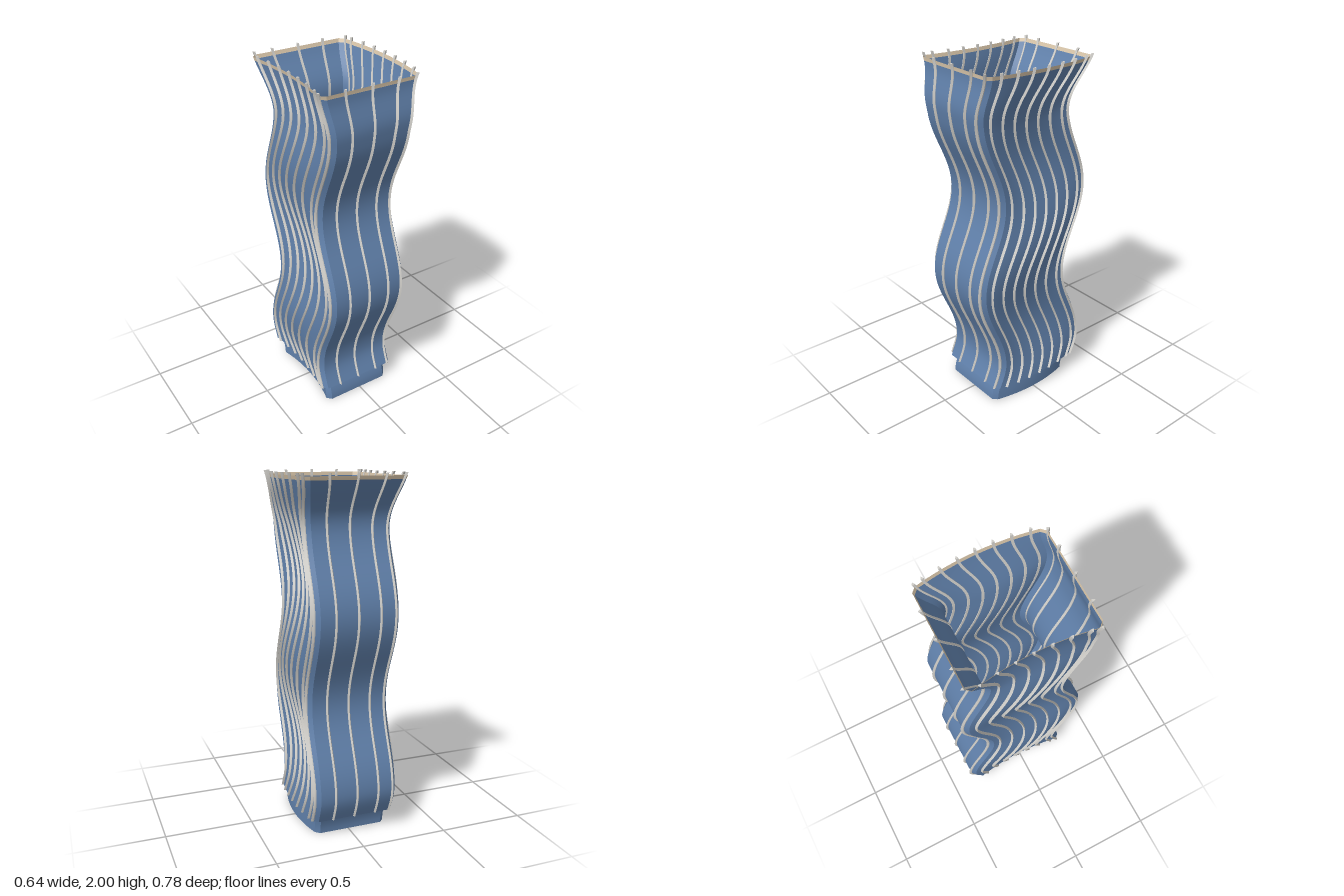
import * as THREE from 'three';
import { mergeGeometries } from 'three/addons/utils/BufferGeometryUtils.js';

const Y_LEDGE = 0.1, Y_RIM = 1.965, Y_RIM_TOP = 1.985, Y_RIB_TOP = 2;
const CENTRE_X = -0.015, CHAMFER = 0.025;
const V = (x, y, z) => new THREE.Vector3(x, y, z);

// Outward direction of side 0..3: right (+x), front, left, back
const NORMALS = [[1, 0], [0, 1], [-1, 0], [0, -1]];

// Forward and backward sway of the whole section, eased out at both ends
function sway(y) {
  if (y < 0.25) return -0.035 * (1 - Math.cos(4 * Math.PI * y));
  if (y > 1.75) return 0.035 * (1 - Math.cos(4 * Math.PI * (2 - y)));
  return -0.07 * Math.sin(2 * Math.PI * y);
}

// Point on a side; u runs -1..1 between its chamfers
function point(side, u, y, inset = 0) {
  const [nx, nz] = NORMALS[side % 4];
  const flare = Math.pow(Math.max(0, (y - 1.7) / 0.28), 1.5);
  const halfX = 0.24 + 0.045 * flare - inset;
  const halfZ = 0.304 + 0.046 * flare - inset;
  const out = nx ? halfX : halfZ;
  const along = ((nx ? halfZ : halfX) - CHAMFER) * u;
  const bulge = nx ? 0.033 * Math.cos(2 * Math.PI * y) * (1 - u * u) : 0;
  return V(CENTRE_X + nx * out - nz * along + bulge, y, sway(y) + nz * out + nx * along);
}

// Grid surface from a rule (s to the right, v up, seen from outside)
function sheet(cols, rows, rule) {
  const g = new THREE.PlaneGeometry(1, 1, cols, rows);
  const pos = g.attributes.position;
  for (let i = 0; i < pos.count; i++) {
    const p = rule(pos.getX(i) + 0.5, pos.getY(i) + 0.5);
    pos.setXYZ(i, p.x, p.y, p.z);
  }
  g.computeVertexNormals();
  return g;
}

// Four sides and four chamfers; height and inset run from bottom to top
function ring(y0, y1, inset0, inset1, rows) {
  const parts = [];
  for (let i = 0; i < 4; i++) {
    const at = (side, u, v) => point(side, u, y0 + (y1 - y0) * v, inset0 + (inset1 - inset0) * v);
    parts.push(sheet(i % 2 ? 1 : 12, rows, (s, v) => at(i, 1 - 2 * s, v)));
    parts.push(sheet(1, rows, (s, v) => at(i + 1, -1, v).lerp(at(i, 1, v), s)));
  }
  return mergeGeometries(parts);
}

// Pointed rib that follows a side from the ledge to above the rim
function rib(side, u) {
  const [nx, nz] = NORMALS[side];
  const profile = [[0.007, -0.003], [0.007, 0.002], [0, 0.013], [-0.007, 0.002], [-0.007, -0.003]];
  const corner = (k, v) => {
    const [t, o] = profile[k % profile.length];
    const p = point(side, u, Y_LEDGE + (Y_RIB_TOP - Y_LEDGE) * v);
    return p.add(V(nx * o - nz * t, 0, nz * o + nx * t));
  };
  const parts = profile.map((_, k) =>
    sheet(1, 72, (s, v) => corner(k, v).lerp(corner(k + 1, v), s)));
  // End caps
  for (const v of [0, 1]) {
    parts.push(sheet(1, 1, (s, w) => w > 0.5 ? corner(s > 0.5 ? 3 : 1, v) : corner(s > 0.5 ? 4 : 0, v)));
    parts.push(sheet(1, 1, (s, w) => w > 0.5 ? corner(2, v) : corner(s > 0.5 ? 3 : 1, v)));
  }
  return mergeGeometries(parts);
}

export function createModel() {
  const material = (name, color) =>
    new THREE.MeshStandardMaterial({ name, color, side: THREE.DoubleSide });
  const blue = material('slate blue', 0x6080aa);
  const beige = material('beige', 0xd9c6aa);
  const grey = material('light grey', 0xcfcdc8);

  const model = new THREE.Group();
  model.name = 'wavyTower';
  const add = (name, geometry, mat, parent = model) => {
    const mesh = new THREE.Mesh(geometry, mat);
    mesh.name = name;
    parent.add(mesh);
  };

  // Walls
  add('base', ring(0, Y_LEDGE, 0.028, 0.028, 4), blue);
  add('ledge', ring(Y_LEDGE, Y_LEDGE, 0.028, 0, 1), beige);
  add('shell', ring(Y_LEDGE, Y_RIM, 0, 0, 72), blue);
  add('rimBand', ring(Y_RIM, Y_RIM_TOP, 0, 0, 2), beige);

  // Ribs: one at the start of each side, the rest evenly spread
  const ribs = new THREE.Group();
  ribs.name = 'ribs';
  model.add(ribs);
  for (let side = 0; side < 4; side++) {
    const count = side % 2 ? 1 : 3, step = side % 2 ? 0.595 : 0.285;
    add('cornerRib', rib(side, -1), grey, ribs);
    for (let k = -count; k <= count; k++) add('rib', rib(side, k * step), grey, ribs);
  }
  return model;
}
